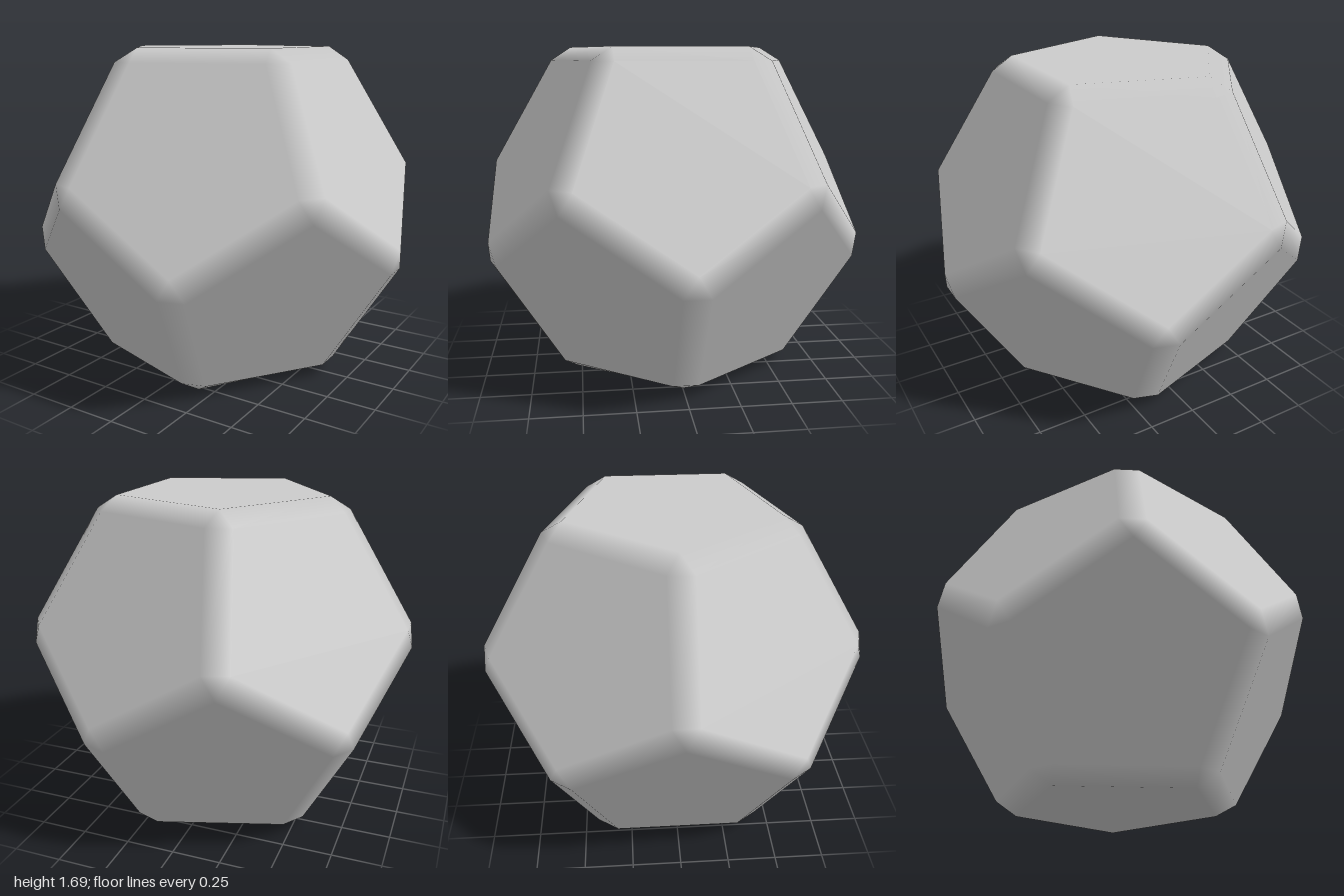
import * as THREE from 'three';

const INRADIUS = 0.843; // centre to face
const FACE_R = 0.55;    // corner radius of each inset pentagon
const TILT = Math.atan(2); // angle between neighbouring face normals

// One pentagon: outward normal and five corners, the first lying in direction t
function makeFace(n, t) {
  const b = n.clone().cross(t);
  const corners = Array.from({ length: 5 }, (_, k) => {
    const a = (k * Math.PI * 2) / 5;
    const p = n.clone().multiplyScalar(INRADIUS)
      .addScaledVector(t, FACE_R * Math.cos(a))
      .addScaledVector(b, FACE_R * Math.sin(a));
    return { p, n };
  });
  return { n, corners };
}

function makeFaces() {
  const V = (x, y, z) => new THREE.Vector3(x, y, z);
  const s = Math.sin(TILT), c = Math.cos(TILT);
  const faces = [makeFace(V(0, 1, 0), V(-1, 0, 0)), makeFace(V(0, -1, 0), V(1, 0, 0))];
  for (let k = 0; k < 5; k++) {
    const a = (k * Math.PI * 2) / 5;
    const x = Math.cos(a), z = Math.sin(a);
    faces.push(makeFace(V(s * x, c, s * z), V(c * x, -s, c * z)));     // upper ring
    faces.push(makeFace(V(-s * x, -c, -s * z), V(-c * x, s, -c * z))); // lower ring
  }
  // One corner of the underside sits slightly raised
  faces[1].corners[0].p.y += 0.015;
  return faces;
}

function bevelledDodecahedron() {
  const faces = makeFaces();
  const positions = [], normals = [];

  // Adds a triangle, wound so that it faces outwards
  const tri = (a, b, c) => {
    const out = b.p.clone().sub(a.p).cross(c.p.clone().sub(a.p));
    const mid = a.p.clone().add(b.p).add(c.p);
    for (const v of out.dot(mid) > 0 ? [a, b, c] : [a, c, b]) {
      positions.push(v.p.x, v.p.y + INRADIUS, v.p.z);
      normals.push(v.n.x, v.n.y, v.n.z);
    }
  };
  const adjacent = (f, g) => f !== g && f.n.dot(g.n) > 0.4;
  // The corner of f that points to both g and h
  const corner = (f, g, h) => {
    const d = g.n.clone().add(h.n);
    return f.corners.reduce((m, v) => (v.p.dot(d) > m.p.dot(d) ? v : m));
  };

  faces.forEach((f, i) => {
    // Flat pentagon
    const [a, b, c, d, e] = f.corners;
    tri(a, b, e);
    tri(b, c, d);
    tri(b, d, e);
    faces.forEach((g, j) => {
      if (j <= i || !adjacent(f, g)) return;
      // Edge bevel, blending between the two face normals
      const [h, k] = faces.filter((q) => adjacent(q, f) && adjacent(q, g));
      const f1 = corner(f, g, h), f2 = corner(f, g, k);
      const g1 = corner(g, f, h), g2 = corner(g, f, k);
      tri(f1, f2, g2);
      tri(f1, g2, g1);
      // Corner bevel, once per trio of faces
      for (const q of [h, k]) {
        if (faces.indexOf(q) > j) tri(corner(f, g, q), corner(g, f, q), corner(q, f, g));
      }
    });
  });

  const geometry = new THREE.BufferGeometry();
  geometry.setAttribute('position', new THREE.Float32BufferAttribute(positions, 3));
  geometry.setAttribute('normal', new THREE.Float32BufferAttribute(normals, 3));
  return geometry;
}

export function createModel() {
  const group = new THREE.Group();
  group.name = 'twelveSidedSolid';
  const body = new THREE.Mesh(
    bevelledDodecahedron(),
    new THREE.MeshStandardMaterial({ color: 0xcccccc })
  );
  body.name = 'bevelledDodecahedron';
  group.add(body);
  return group;
}
